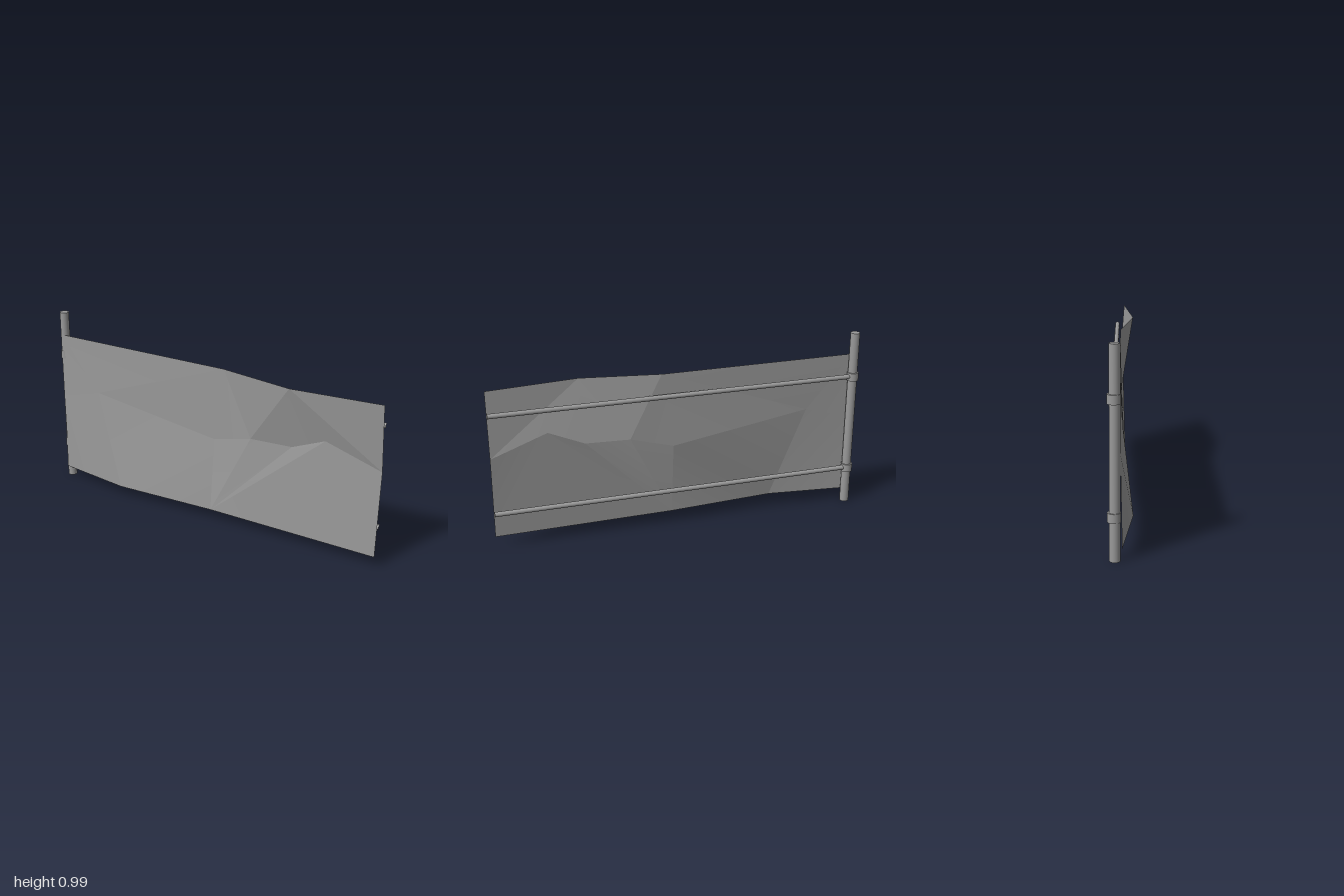
import * as THREE from 'three';
import { toCreasedNormals } from 'three/addons/utils/BufferGeometryUtils.js';

const metal = new THREE.MeshStandardMaterial({ color: 0x999999 });
const cloth = new THREE.MeshStandardMaterial({ color: 0x999999, side: THREE.DoubleSide });

function cylinder(name, radius, length, x, y, z, open = false) {
  const mesh = new THREE.Mesh(new THREE.CylinderGeometry(radius, radius, length, 24, 1, open), metal);
  mesh.name = name;
  mesh.position.set(x, y, z);
  return mesh;
}

// Triangles between two rows of points; each step moves on along the upper (U) or lower (L) row
function zip(upper, lower, steps) {
  const corners = [];
  let u = 0, l = 0;
  for (const step of steps) {
    const next = step === 'U' ? upper[++u] : lower[++l];
    const [a, b] = step === 'U' ? [upper[u - 1], lower[l]] : [upper[u], lower[l - 1]];
    corners.push(a, b, next);
  }
  return corners.flat();
}

// Rippled sheet: straight top and bottom edges that wave in z, with a creased middle line
function createSheet() {
  const top = [[-0.975, 0], [0.1, -0.008], [0.52, 0.06], [1, 0.008]].map(([x, z]) => [x, 0.865, z]);
  const middle = [
    [-0.975, 0.5, 0], [-0.72, 0.57, 0.008], [0.04, 0.46, -0.015], [0.27, 0.52, -0.002],
    [0.51, 0.53, -0.006], [0.7, 0.61, 0.002], [1, 0.51, -0.02],
  ];
  const bottom = [[-0.975, 0.008], [-0.54, 0.06], [0.04, 0.022], [1, 0.008]].map(([x, z]) => [x, 0.058, z]);
  const positions = [
    ...zip(top, middle, 'LULLULLLU'),
    ...zip(middle, bottom, 'LUULUUULU'),
  ];
  const geometry = new THREE.BufferGeometry();
  geometry.setAttribute('position', new THREE.Float32BufferAttribute(positions, 3));
  const mesh = new THREE.Mesh(toCreasedNormals(geometry, 0.1), cloth);
  mesh.name = 'bannerSheet';
  return mesh;
}

export function createModel() {
  const group = new THREE.Group();
  group.name = 'banner';
  const postX = -0.969, postZ = -0.025;

  // Upright post
  group.add(cylinder('post', 0.025, 0.992, postX, 0.496, postZ));

  // Two open tube crossbars, each held by a collar on the post
  [['lower', 0.208], ['upper', 0.748]].forEach(([label, y]) => {
    group.add(cylinder(label + 'Collar', 0.031, 0.044, postX, y, -0.028));
    const bar = cylinder(label + 'Crossbar', 0.013, 1.969, (postX + 1) / 2, y, -0.033, true);
    bar.rotation.z = Math.PI / 2;
    group.add(bar);
  });

  group.add(createSheet());
  return group;
}
